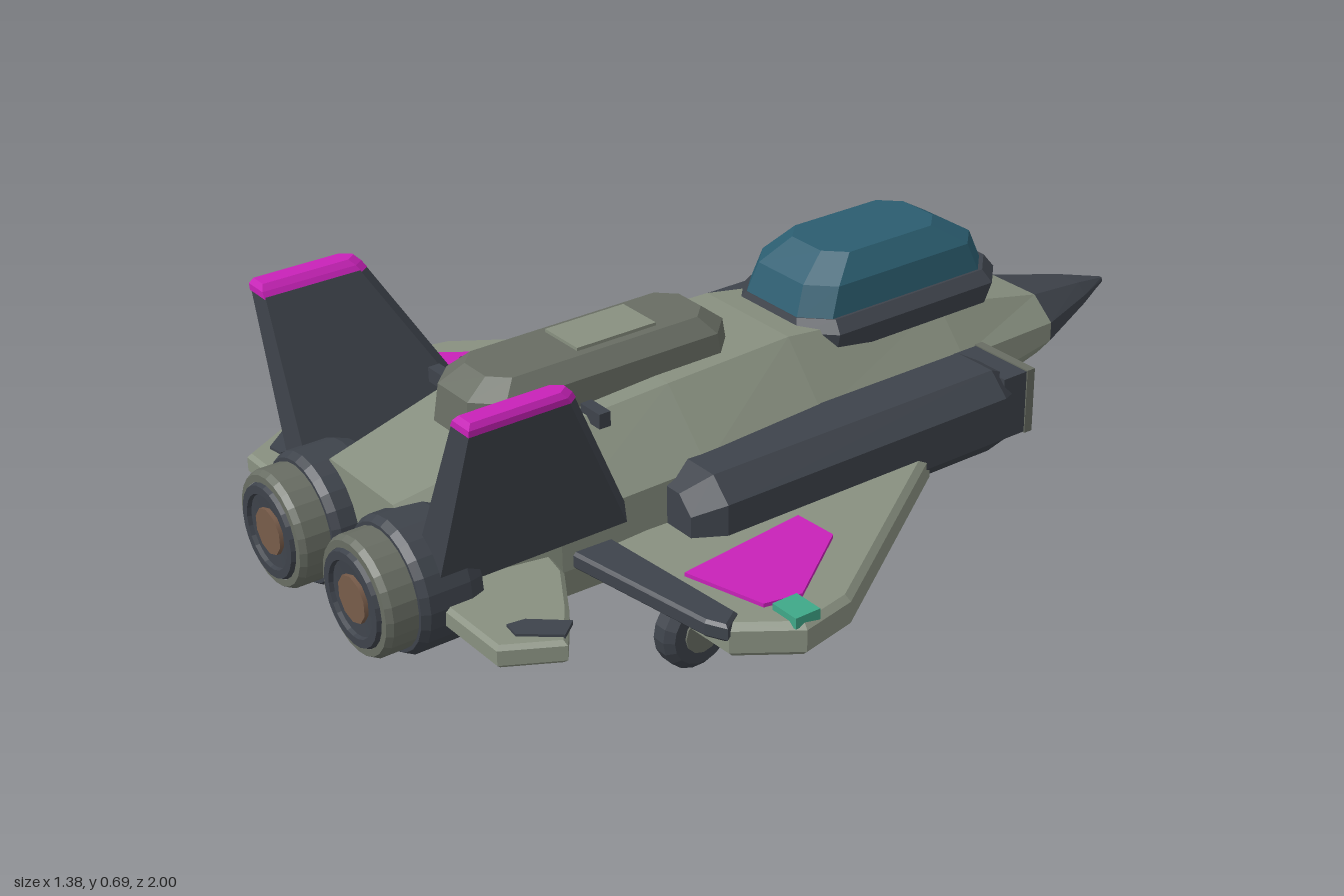
import * as THREE from 'three';

const mat = (name, color) => {
  const m = new THREE.MeshStandardMaterial({ color });
  m.name = name;
  return m;
};

// Solid through equal-sized rings of [x, y, z] points, flat shaded, capped at both ends
function loft(rings) {
  const tris = [], n = rings[0].length;
  for (let r = 0; r < rings.length - 1; r++) {
    for (let i = 0; i < n; i++) {
      const j = (i + 1) % n, a = rings[r], b = rings[r + 1];
      tris.push([a[i], a[j], b[j]], [a[i], b[j], b[i]]);
    }
  }
  const last = rings[rings.length - 1];
  for (let i = 1; i < n - 1; i++) {
    tris.push([rings[0][0], rings[0][i + 1], rings[0][i]], [last[0], last[i], last[i + 1]]);
  }
  // turn all faces outward using the signed volume
  let volume = 0;
  for (const [a, b, c] of tris) {
    volume += new THREE.Vector3(...a).dot(new THREE.Vector3(...b).cross(new THREE.Vector3(...c)));
  }
  if (volume < 0) tris.forEach((t) => t.reverse());
  const geo = new THREE.BufferGeometry();
  geo.setAttribute('position', new THREE.Float32BufferAttribute(tris.flat(2), 3));
  geo.computeVertexNormals();
  return geo;
}

// Chamfered rectangle as 8 corner points
function octagon(hw, hh, c) {
  return [[hw - c, hh], [hw, hh - c], [hw, c - hh], [hw - c, -hh],
    [c - hw, -hh], [-hw, c - hh], [-hw, hh - c], [c - hw, hh]];
}
// Horizontal ring at height y, from z0 to z1
const deckRing = (y, hw, z0, z1, c) =>
  octagon(hw, (z1 - z0) / 2, c).map(([x, z]) => [x, y, z + (z0 + z1) / 2]);

// Flat plan outline of [x, z] points, with thickness below its top
function slab(points, top, thick, bevel = 0) {
  const shape = new THREE.Shape(points.map(([x, z]) => new THREE.Vector2(x, z)));
  const geo = new THREE.ExtrudeGeometry(shape, {
    depth: thick - 2 * bevel, bevelEnabled: bevel > 0, bevelSize: bevel,
    bevelOffset: -bevel, bevelThickness: bevel, bevelSegments: 1,
  });
  return geo.rotateX(Math.PI / 2).translate(0, top - bevel, 0);
}

// Straight strut between two points
function rod(a, b, r) {
  const path = new THREE.LineCurve3(new THREE.Vector3(...a), new THREE.Vector3(...b));
  return new THREE.TubeGeometry(path, 1, r, 10);
}

export function createModel() {
  const root = new THREE.Group();
  root.name = 'jet';
  const hull = mat('hull grey green', 0x889080);
  const slate = mat('slate', 0x3e434b);
  const grey = mat('panel grey', 0x686d63);
  const black = mat('intake dark', 0x2d3137);
  const glass = mat('canopy glass', 0x2b5d70);
  const magenta = mat('magenta', 0xc822b8);
  const red = mat('red light', 0xb93c32);
  const green = mat('green light', 0x3fa888);
  const copper = mat('copper', 0x785c4a);

  const add = (name, geo, material, parent = root) => {
    const mesh = new THREE.Mesh(geo, material);
    mesh.name = name;
    parent.add(mesh);
    return mesh;
  };
  const box = (name, size, pos, material, parent) =>
    add(name, new THREE.BoxGeometry(...size).translate(...pos), material, parent);

  // Fuselage section: z, half width, top, bottom
  const section = ([z, w, top, bot]) => {
    const h = top - bot, hi = bot + h * 0.64, lo = bot + h * 0.32;
    const half = [[w * 0.55, top], [w, hi], [w, lo], [w * 0.7, bot]];
    return [...half, ...half.map(([x, y]) => [-x, y]).reverse()].map(([x, y]) => [x, y, z]);
  };
  const noseBase = [-0.73, 0.12, 0.365, 0.235];
  add('fuselage', loft([noseBase, [-0.42, 0.18, 0.445, 0.19], [0, 0.235, 0.505, 0.157],
    [0.3, 0.26, 0.503, 0.155], [0.62, 0.25, 0.485, 0.155], [0.88, 0.2, 0.43, 0.17]].map(section)), hull);
  add('noseCone', loft([[-1, 0.006, 0.308, 0.296], [-0.9, 0.052, 0.332, 0.272], noseBase].map(section)), slate);

  // Canopy
  add('canopyFrame', loft([deckRing(0.44, 0.145, -0.565, -0.05, 0.06),
    deckRing(0.485, 0.155, -0.575, -0.05, 0.06), deckRing(0.51, 0.135, -0.56, -0.06, 0.055)]), slate);
  add('canopy', loft([deckRing(0.505, 0.13, -0.55, -0.06, 0.05),
    deckRing(0.57, 0.12, -0.525, -0.085, 0.05), deckRing(0.617, 0.085, -0.445, -0.15, 0.04)]), glass);

  // Dorsal spine
  add('spine', loft([deckRing(0.47, 0.105, 0.09, 0.69, 0.05), deckRing(0.545, 0.1, 0.1, 0.68, 0.05),
    deckRing(0.577, 0.07, 0.14, 0.63, 0.035)]), grey);
  box('spinePlate', [0.105, 0.009, 0.18], [0, 0.579, 0.35], hull);

  // Belly plate
  add('bellyPlate', loft([deckRing(0.17, 0.085, -0.365, 0.14, 0.015),
    deckRing(0.135, 0.085, -0.365, 0.14, 0.015), deckRing(0.124, 0.075, -0.355, 0.13, 0.015)]), slate);

  for (const s of [-1, 1]) {
    const side = new THREE.Group();
    side.name = s > 0 ? 'leftSide' : 'rightSide';
    root.add(side);
    const flip = (pts) => pts.map(([x, ...rest]) => [s * x, ...rest]);

    // Intake duct and mouth
    const duct = (z, hw, hh, c) => octagon(hw, hh, c).map(([x, y]) => [s * 0.27 + x, 0.305 + y, z]);
    add('intakeDuct', loft([duct(-0.41, 0.065, 0.065, 0.035), duct(-0.365, 0.095, 0.09, 0.045),
      duct(0.33, 0.095, 0.09, 0.045), duct(0.39, 0.06, 0.06, 0.035)]), slate, side);
    box('intakeLip', [0.15, 0.135, 0.075], [s * 0.26, 0.305, -0.425], slate, side);
    box('intakeRim', [0.155, 0.14, 0.02], [s * 0.26, 0.305, -0.458], grey, side);
    box('intakeMouth', [0.125, 0.11, 0.006], [s * 0.26, 0.305, -0.468], black, side);

    // Wing with flap, painted panel and tip light
    add('wing', slab(flip([[0.2, -0.3], [0.35, -0.18], [0.665, 0.29], [0.69, 0.41], [0.61, 0.52],
      [0.25, 0.53]]), 0.287, 0.068, 0.012), hull, side);
    add('flap', slab(flip([[0.23, 0.51], [0.59, 0.485], [0.62, 0.53], [0.58, 0.55], [0.23, 0.6]]),
      0.295, 0.035, 0.006), slate, side);
    add('wingPanel', slab(flip([[0.395, 0.19], [0.49, 0.185], [0.615, 0.36], [0.6, 0.435], [0.43, 0.48]]),
      0.295, 0.009), magenta, side);
    box('wingTipLight', [0.065, 0.022, 0.055], [s * 0.647, 0.289, 0.4], s > 0 ? green : red, side);

    // Tailplane
    add('tailplane', slab(flip([[0.15, 0.62], [0.3, 0.65], [0.41, 0.715], [0.5, 0.78], [0.44, 0.885],
      [0.15, 0.885]]), 0.302, 0.045, 0.008), hull, side);
    add('tailplanePanel', slab(flip([[0.4, 0.8], [0.455, 0.738], [0.485, 0.775], [0.43, 0.84],
      [0.395, 0.835]]), 0.307, 0.008), slate, side);

    // Canted fin: ring at height y with inner and outer x and front and back z
    const finRing = (y, xi, xo, z0, z1) =>
      flip([[xi + 0.015, y, z0], [xo - 0.015, y, z0], [xo, y, z0 + 0.02], [xo, y, z1], [xi, y, z1], [xi, y, z0 + 0.02]]);
    add('fin', loft([finRing(0.32, 0.17, 0.255, 0.46, 0.885), finRing(0.675, 0.318, 0.373, 0.655, 0.875)]),
      slate, side);
    add('finCap', loft([finRing(0.672, 0.317, 0.374, 0.652, 0.877), finRing(0.685, 0.324, 0.376, 0.66, 0.877),
      finRing(0.696, 0.334, 0.37, 0.67, 0.87)]), magenta, side);

    // Engine nozzle, profile runs around the outside and into the recess
    const lathe = (pts) => new THREE.LatheGeometry(pts.map((p) => new THREE.Vector2(...p)), 24)
      .toNonIndexed().rotateX(Math.PI / 2).translate(s * 0.15, 0.3, 0);
    const flat = (geo) => { geo.computeVertexNormals(); return geo; };
    add('engineCollar', flat(lathe([[0, 0.8], [0.12, 0.8], [0.131, 0.83], [0.131, 0.915], [0.122, 0.93], [0.1, 0.93]])), slate, side);
    add('nozzle', flat(lathe([[0.115, 0.9], [0.115, 0.98], [0.108, 0.992], [0.094, 0.992]])), grey, side);
    add('nozzleRing', flat(lathe([[0.094, 0.99], [0.09, 1], [0.074, 1], [0.07, 0.985]])), slate, side);
    add('nozzleInside', flat(lathe([[0.074, 0.992], [0, 0.985]])), slate, side);
    add('exhaustCore', new THREE.CylinderGeometry(0.046, 0.046, 0.009, 10).rotateX(Math.PI / 2)
      .translate(s * 0.15, 0.3, 0.993), copper, side);

    // Deck vents
    for (const z of [0.47, 0.54, 0.61]) {
      box('vent', [0.06, 0.03, 0.025], [s * 0.15, 0.495, z], slate, side);
    }
  }

  // Landing gear
  function wheel(x, y, z, r, w, name) {
    const g = new THREE.Group();
    g.name = name;
    g.position.set(x, y, z);
    root.add(g);
    const tyre = [[0, -w / 2], [r * 0.8, -w / 2], [r, -w / 4], [r, w / 4], [r * 0.8, w / 2], [0, w / 2]];
    const geo = new THREE.LatheGeometry(tyre.map((p) => new THREE.Vector2(...p)), 18).toNonIndexed();
    geo.computeVertexNormals();
    add('tyre', geo.rotateZ(Math.PI / 2), slate, g);
    add('hub', new THREE.CylinderGeometry(r * 0.5, r * 0.5, w + 0.008, 12).rotateZ(Math.PI / 2), grey, g);
  }
  for (const s of [-1, 1]) {
    wheel(s * 0.312, 0.083, 0.375, 0.08, 0.06, 'mainWheel');
    add('mainStrut', rod([s * 0.25, 0.24, 0.36], [s * 0.295, 0.085, 0.375], 0.016), grey);
  }
  wheel(0, 0.061, -0.46, 0.058, 0.045, 'noseWheel');
  add('noseStrut', rod([0, 0.21, -0.43], [0, 0.065, -0.46], 0.016), grey);

  return root;
}
